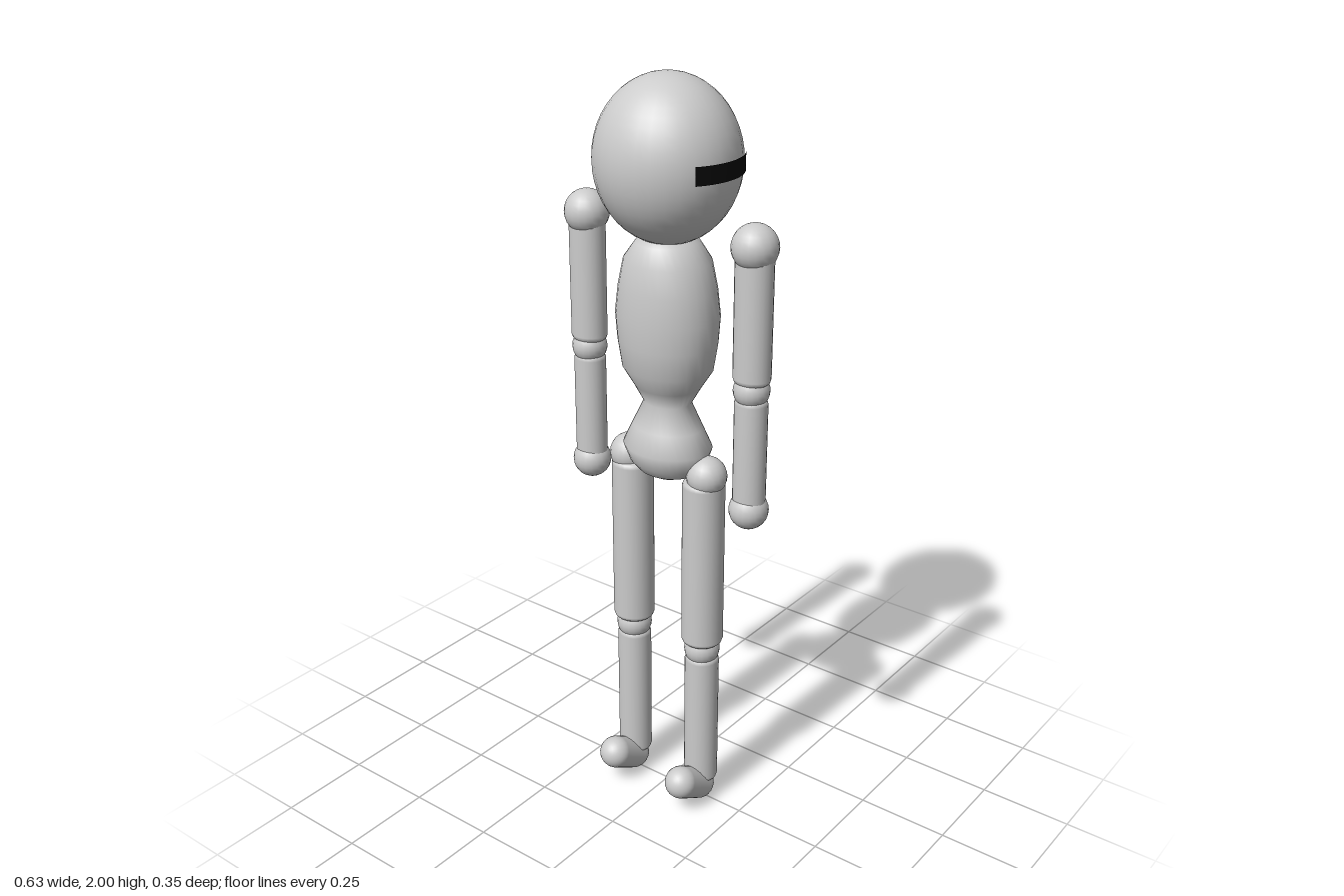
import * as THREE from 'three';

const grey = new THREE.MeshStandardMaterial({ color: 0xcccccc });
const black = new THREE.MeshStandardMaterial({ color: 0x080808, side: THREE.DoubleSide });

function add(parent, name, geometry, x, y, z, material = grey) {
  const mesh = new THREE.Mesh(geometry, material);
  mesh.name = name;
  mesh.position.set(x, y, z);
  parent.add(mesh);
  return mesh;
}

const ball = (r) => new THREE.SphereGeometry(r, 20, 14);

// Upright limb segment with softly rounded rims, spanning y0 to y1
function limb(parent, name, x, y0, y1, rx, rz) {
  const h = y1 - y0, b = 0.015;
  const profile = [[0, 0], [0.8, 0], [0.94, b * 0.4], [1, b], [1, h - b], [0.94, h - b * 0.4], [0.8, h], [0, h]]
    .map(([r, y]) => new THREE.Vector2(r * rx, y));
  const mesh = add(parent, name, new THREE.LatheGeometry(profile, 24), x, y0, 0);
  mesh.scale.z = rz / rx;
}

// Closed body of elliptical rings: each ring is [y, half width, half depth]
function ringBody(rings, segments) {
  const profile = rings.map(([y, w]) => new THREE.Vector2(w, y));
  const geometry = new THREE.LatheGeometry(profile, segments);
  const p = geometry.attributes.position;
  for (let i = 0; i < p.count; i++) {
    const [, w, d] = rings[i % rings.length];
    if (w > 0) p.setZ(i, p.getZ(i) * d / w);
  }
  geometry.computeVertexNormals();
  // Average the normals across the lathe seam
  const n = geometry.attributes.normal, last = p.count - rings.length;
  for (let j = 0; j < rings.length; j++) {
    const v = new THREE.Vector3().fromBufferAttribute(n, j)
      .add(new THREE.Vector3().fromBufferAttribute(n, last + j)).normalize();
    n.setXYZ(j, v.x, v.y, v.z);
    n.setXYZ(last + j, v.x, v.y, v.z);
  }
  return geometry;
}

export function createModel() {
  const model = new THREE.Group();
  model.name = 'jointedFigure';

  // Head
  const head = add(model, 'head', new THREE.SphereGeometry(1, 32, 24), 0, 1.795, 0);
  head.scale.set(0.185, 0.205, 0.177);

  // Dark curved band on the left side of the head
  const band = add(model, 'sideBand',
    new THREE.CylinderGeometry(0.188, 0.188, 0.045, 24, 1, true, Math.PI / 2 - 0.59, 1.18), 0, 1.795, 0, black);
  band.scale.z = 0.18 / 0.188;

  // Torso with chest, narrow waist and pelvis
  add(model, 'torso', ringBody([
    [0.962, 0, 0], [0.968, 0.04, 0.035], [0.985, 0.08, 0.065], [1.01, 0.105, 0.085], [1.055, 0.122, 0.102],
    [1.11, 0.096, 0.08], [1.175, 0.064, 0.055], [1.22, 0.09, 0.077], [1.27, 0.122, 0.104],
    [1.34, 0.134, 0.112], [1.41, 0.139, 0.117], [1.48, 0.13, 0.112], [1.55, 0.113, 0.104],
    [1.595, 0.08, 0.08], [1.61, 0.05, 0.05], [1.615, 0, 0],
  ], 32), 0, 0, 0);

  for (const side of [1, -1]) {
    const label = side > 0 ? 'left' : 'right';

    // Arm
    const arm = new THREE.Group();
    arm.name = label + 'Arm';
    const ax = side * 0.256;
    add(arm, 'shoulder', ball(0.058), ax, 1.625, 0);
    limb(arm, 'upperArm', ax, 1.285, 1.615, 0.049, 0.044);
    add(arm, 'elbow', ball(0.046), ax, 1.267, 0);
    limb(arm, 'forearm', ax, 0.945, 1.248, 0.043, 0.04);
    add(arm, 'hand', ball(0.051), ax, 0.944, 0);
    model.add(arm);

    // Leg
    const leg = new THREE.Group();
    leg.name = label + 'Leg';
    const lx = side * 0.116;
    add(leg, 'hip', ball(0.053), side * 0.125, 0.998, 0);
    limb(leg, 'thigh', lx, 0.505, 0.985, 0.056, 0.056);
    add(leg, 'knee', ball(0.048), lx, 0.484, 0);
    limb(leg, 'shin', lx, 0.065, 0.465, 0.047, 0.045);

    // Foot: capsule tilted with the toe raised
    const heel = new THREE.Vector3(lx, 0.046, 0.012);
    const toe = new THREE.Vector3(lx, 0.092, 0.091);
    const along = toe.clone().sub(heel);
    const mid = heel.clone().add(toe).multiplyScalar(0.5);
    const foot = add(leg, 'foot', new THREE.CapsuleGeometry(0.045, along.length(), 8, 20), mid.x, mid.y, mid.z);
    foot.quaternion.setFromUnitVectors(new THREE.Vector3(0, 1, 0), along.normalize());
    model.add(leg);
  }
  return model;
}
